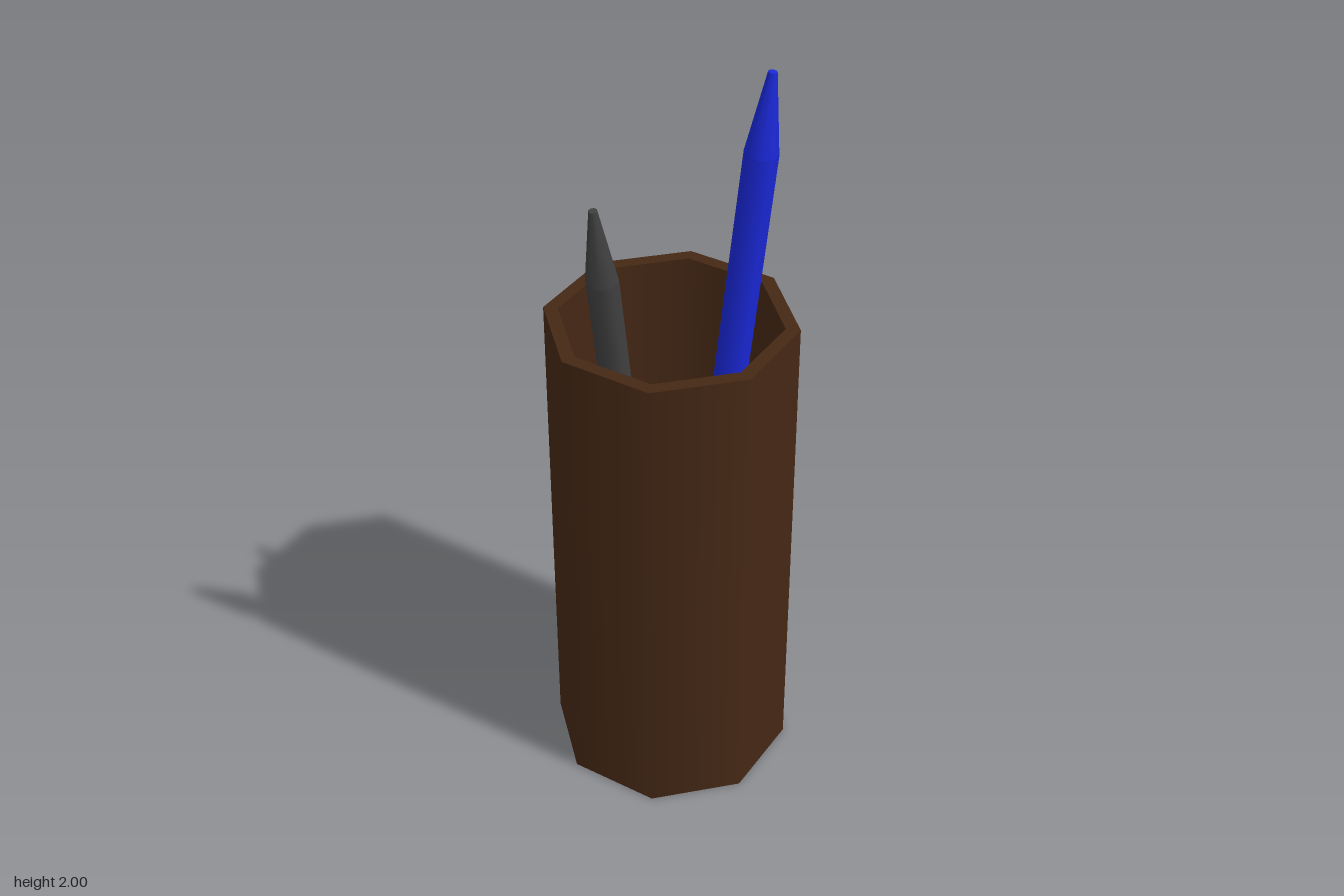
import * as THREE from 'three';
import { mergeGeometries } from 'three/addons/utils/BufferGeometryUtils.js';

const SIDES = 8;
const UP = new THREE.Vector3(0, 1, 0);

const material = (color) => new THREE.MeshStandardMaterial({ color });

// Hollow octagonal cup: one lathe per profile segment keeps the rims sharp
function createCup() {
  const outer = 0.303, inner = 0.268, height = 1.28, floor = 0.03;
  const profile = [
    [0, 0], [outer, 0], [outer, height], [inner, height], [inner, floor], [0, floor],
  ].map(([x, y]) => new THREE.Vector2(x, y));
  const bands = profile.slice(1).map((p, i) => new THREE.LatheGeometry([profile[i], p], SIDES));
  const cup = new THREE.Mesh(mergeGeometries(bands), material(0x452815));
  cup.name = 'cup';
  return cup;
}

// Pen leaning from its foot to its point, with a tapered tip
function createPen(name, color, foot, point) {
  const radius = 0.038, tipRadius = 0.01, tipLength = 0.19;
  const start = new THREE.Vector3(...foot);
  const axis = new THREE.Vector3(...point).sub(start);
  const bodyLength = axis.length() - tipLength;
  const mat = material(color);

  const body = new THREE.Mesh(
    new THREE.CylinderGeometry(radius, radius, bodyLength, SIDES), mat);
  body.name = 'penBody';
  body.position.y = bodyLength / 2;

  const tip = new THREE.Mesh(
    new THREE.CylinderGeometry(tipRadius, radius, tipLength, SIDES), mat);
  tip.name = 'penTip';
  tip.position.y = bodyLength + tipLength / 2;

  const pen = new THREE.Group();
  pen.name = name;
  pen.add(body, tip);
  pen.position.copy(start);
  pen.quaternion.setFromUnitVectors(UP, axis.normalize());
  return pen;
}

export function createModel() {
  const model = new THREE.Group();
  model.name = 'penHolder';
  model.add(
    createCup(),
    createPen('bluePen', 0x1a28d8, [0.043, 0.035, 0.14], [0.234, 1.999, 0.14]),
    createPen('greyPen', 0x404040, [-0.031, 0.035, 0.01], [-0.126, 1.7, 0.249]),
  );
  return model;
}
